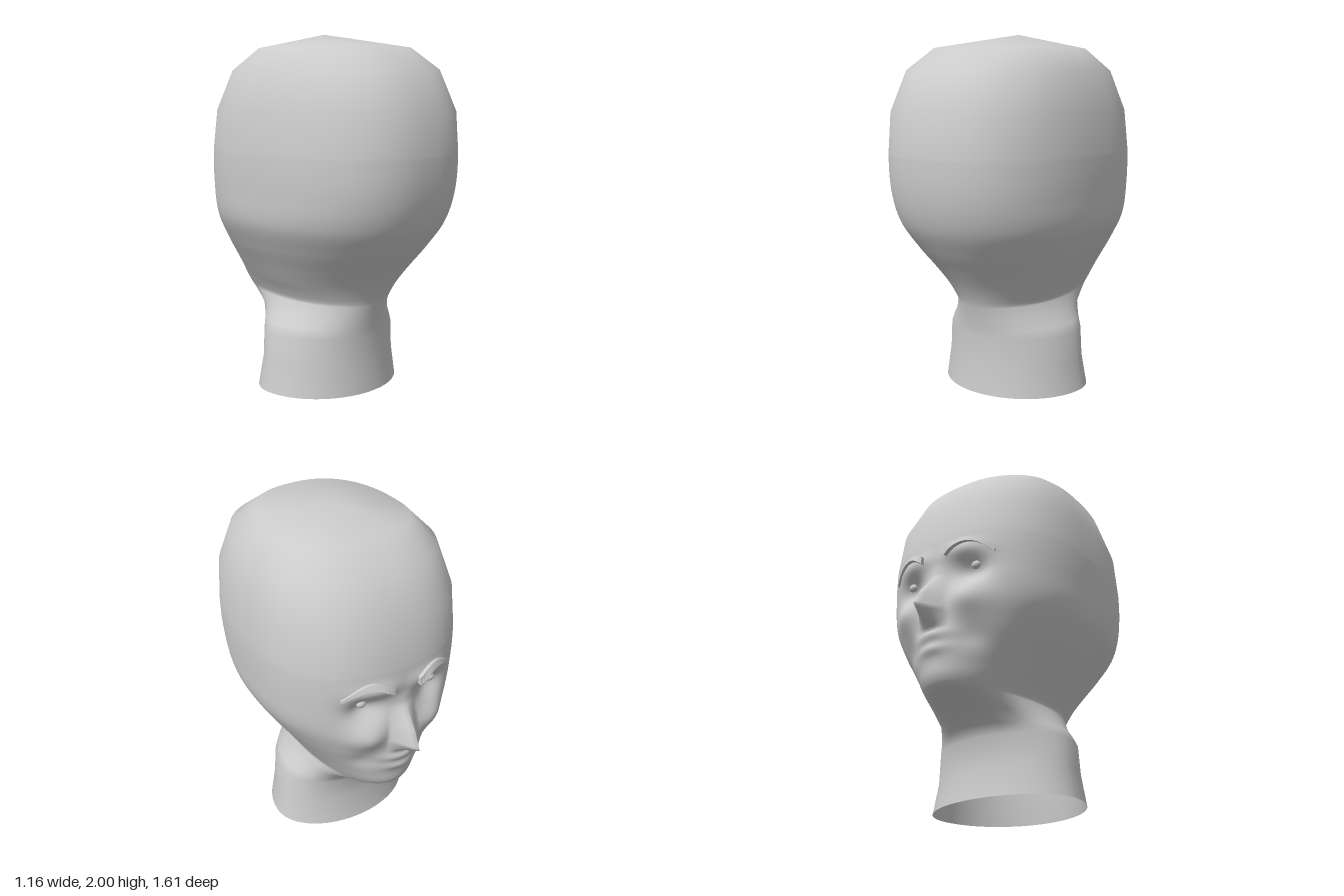
import * as THREE from 'three';

const stone = new THREE.MeshStandardMaterial({ color: 0xcccccc, side: THREE.DoubleSide });
stone.name = 'plain grey';

// Head rings: height, half width, front depth, back depth, squareness
const RINGS = [
  [0, 0.445, 0.295, 0.40, 2], [0.17, 0.415, 0.265, 0.385, 2], [0.33, 0.40, 0.28, 0.39, 2],
  [0.38, 0.37, 0.32, 0.40, 2], [0.44, 0.325, 0.40, 0.41, 2], [0.51, 0.29, 0.57, 0.43, 2],
  [0.56, 0.31, 0.615, 0.45, 2], [0.63, 0.355, 0.63, 0.49, 2], [0.72, 0.41, 0.64, 0.555, 2.1],
  [0.84, 0.485, 0.645, 0.65, 2.2], [0.98, 0.555, 0.645, 0.74, 2.3], [1.15, 0.575, 0.64, 0.79, 2.4],
  [1.36, 0.58, 0.635, 0.805, 2.4], [1.58, 0.565, 0.60, 0.79, 2.4], [1.8, 0.50, 0.48, 0.69, 2.4],
  [1.92, 0.385, 0.30, 0.52, 2.4],
];

// Smooth interpolation between the rings
function ringAt(y) {
  let i = 0;
  while (i < RINGS.length - 2 && y >= RINGS[i + 1][0]) i++;
  const at = (k) => RINGS[Math.min(Math.max(k, 0), RINGS.length - 1)];
  const [p, a, b, q] = [at(i - 1), at(i), at(i + 1), at(i + 2)];
  const h = b[0] - a[0], t = (y - a[0]) / h;
  return [1, 2, 3, 4].map((c) => {
    const m0 = ((b[c] - p[c]) / (b[0] - p[0])) * h, m1 = ((q[c] - a[c]) / (q[0] - a[0])) * h;
    const t2 = t * t, t3 = t2 * t;
    return (2 * t3 - 3 * t2 + 1) * a[c] + (t3 - 2 * t2 + t) * m0 + (3 * t2 - 2 * t3) * b[c] + (t3 - t2) * m1;
  });
}

const bump = (x, y, cx, cy, sx, sy) => Math.exp(-(((x - cx) / sx) ** 2) - ((y - cy) / sy) ** 2);

// Forward relief of the face, symmetrical in x
function relief(xSigned, y) {
  const x = Math.abs(xSigned);
  let d = -0.065 * bump(x, y, 0.2, 1.13, 0.1, 0.075);   // eye sockets
  d += 0.022 * bump(x, y, 0.16, 1.25, 0.13, 0.05);      // brow ridge
  d += 0.04 * bump(x, y, 0.21, 0.95, 0.1, 0.08);        // cheeks
  d -= 0.02 * bump(x, y, 0.2, 0.76, 0.07, 0.07);        // hollows beside the mouth
  d += 0.028 * bump(x, y, 0, 0.78, 0.1, 0.035);         // upper lip
  d += 0.022 * bump(x, y, 0, 0.705, 0.09, 0.03);        // lower lip
  // nose: a ridge widening down to the tip, then cut back under
  const profile = [[0.81, 0], [0.85, 0.07], [0.91, 0.155], [1.0, 0.11], [1.13, 0.01], [1.2, 0]];
  for (let i = 0; i < profile.length - 1; i++) {
    const [y0, d0] = profile[i], [y1, d1] = profile[i + 1];
    if (y < y0 || y >= y1) continue;
    const height = d0 + ((d1 - d0) * (y - y0)) / (y1 - y0);
    const width = 0.095 - 0.1 * Math.max(0, y - 0.91);
    d += height * Math.max(0, 1 - x / width) ** 1.1;
  }
  return d;
}

// Depth of the face surface at a given x and y
function faceZ(x, y) {
  const [w, front, , n] = ringAt(y);
  return -front * (1 - Math.min(1, Math.abs(x) / w) ** n) ** (1 / n) - relief(x, y);
}

function surface(positions, indices, name) {
  const g = new THREE.BufferGeometry();
  g.setAttribute('position', new THREE.Float32BufferAttribute(positions, 3));
  g.setIndex(indices);
  g.computeVertexNormals();
  const mesh = new THREE.Mesh(g, stone);
  mesh.name = name;
  return mesh;
}

// Head and neck, open at the bottom and closed by a point at the crown
function buildHead() {
  const N = 144, heights = RINGS.map((r) => r[0]).filter((y) => y < 0.5 || y > 1.37);
  for (let y = 0.51; y < 1.37; y += 0.0125) heights.push(y);
  heights.sort((a, b) => a - b);
  const pos = [], idx = [];
  for (const y of heights) {
    const [w, front, back, n] = ringAt(y);
    for (let i = 0; i < N; i++) {
      const t = (i / N) * Math.PI * 2;
      const a = t - 0.55 * Math.sin(t); // denser columns on the face
      const s = Math.sin(a), c = Math.cos(a);
      const x = w * Math.sign(s) * Math.abs(s) ** (2 / n);
      const depth = Math.abs(c) ** (2 / n);
      pos.push(x, y, c > 0 ? -front * depth - relief(x, y) * Math.min(1, depth * 2) : back * depth);
    }
  }
  for (let r = 0; r < heights.length - 1; r++) {
    for (let i = 0; i < N; i++) {
      const a = r * N + i, b = r * N + ((i + 1) % N);
      idx.push(a, a + N, b, b, a + N, b + N);
    }
  }
  const apex = pos.length / 3, last = apex - N;
  pos.push(0, 2, 0);
  for (let i = 0; i < N; i++) idx.push(last + i, apex, last + ((i + 1) % N));
  return surface(pos, idx, 'headAndNeck');
}

// Arched eyebrow standing slightly off the forehead
function buildBrow(side) {
  const steps = 14, pos = [], idx = [];
  for (let i = 0; i <= steps; i++) {
    const t = i / steps, x = side * (0.08 + 0.26 * t);
    const y = 1.25 - 0.03 * t + 0.065 * Math.sin(Math.PI * t);
    const half = 0.022 * (1 - 0.6 * t), out = 0.026 * (1 - 0.5 * t);
    const lo = y - half, hi = y + half;
    pos.push(x, lo, faceZ(x, lo) + 0.005, x, lo, faceZ(x, lo) - out);
    pos.push(x, hi, faceZ(x, hi) - out * 0.8, x, hi, faceZ(x, hi) + 0.005);
  }
  const quad = (a, b, c, d) => (side > 0 ? idx.push(a, b, c, a, c, d) : idx.push(a, c, b, a, d, c));
  for (let i = 0; i < steps; i++) {
    for (let k = 0; k < 4; k++) {
      const a = i * 4 + k, b = i * 4 + ((k + 1) % 4);
      quad(a, b, b + 4, a + 4);
    }
  }
  quad(3, 2, 1, 0);
  const e = steps * 4;
  quad(e, e + 1, e + 2, e + 3);
  const mesh = surface(pos, idx, side > 0 ? 'leftBrow' : 'rightBrow');
  mesh.geometry = mesh.geometry.toNonIndexed();
  mesh.geometry.computeVertexNormals();
  return mesh;
}

// Small bead eye set in the socket
function buildEye(side) {
  const eye = new THREE.Mesh(new THREE.SphereGeometry(0.028, 16, 12), stone);
  eye.name = side > 0 ? 'leftEye' : 'rightEye';
  eye.scale.set(1, 0.8, 0.7);
  eye.position.set(side * 0.22, 1.165, faceZ(0.22, 1.165) - 0.006);
  return eye;
}

export function createModel() {
  const model = new THREE.Group();
  model.name = 'headBust';
  model.add(buildHead());
  for (const side of [1, -1]) model.add(buildBrow(side), buildEye(side));
  return model;
}
